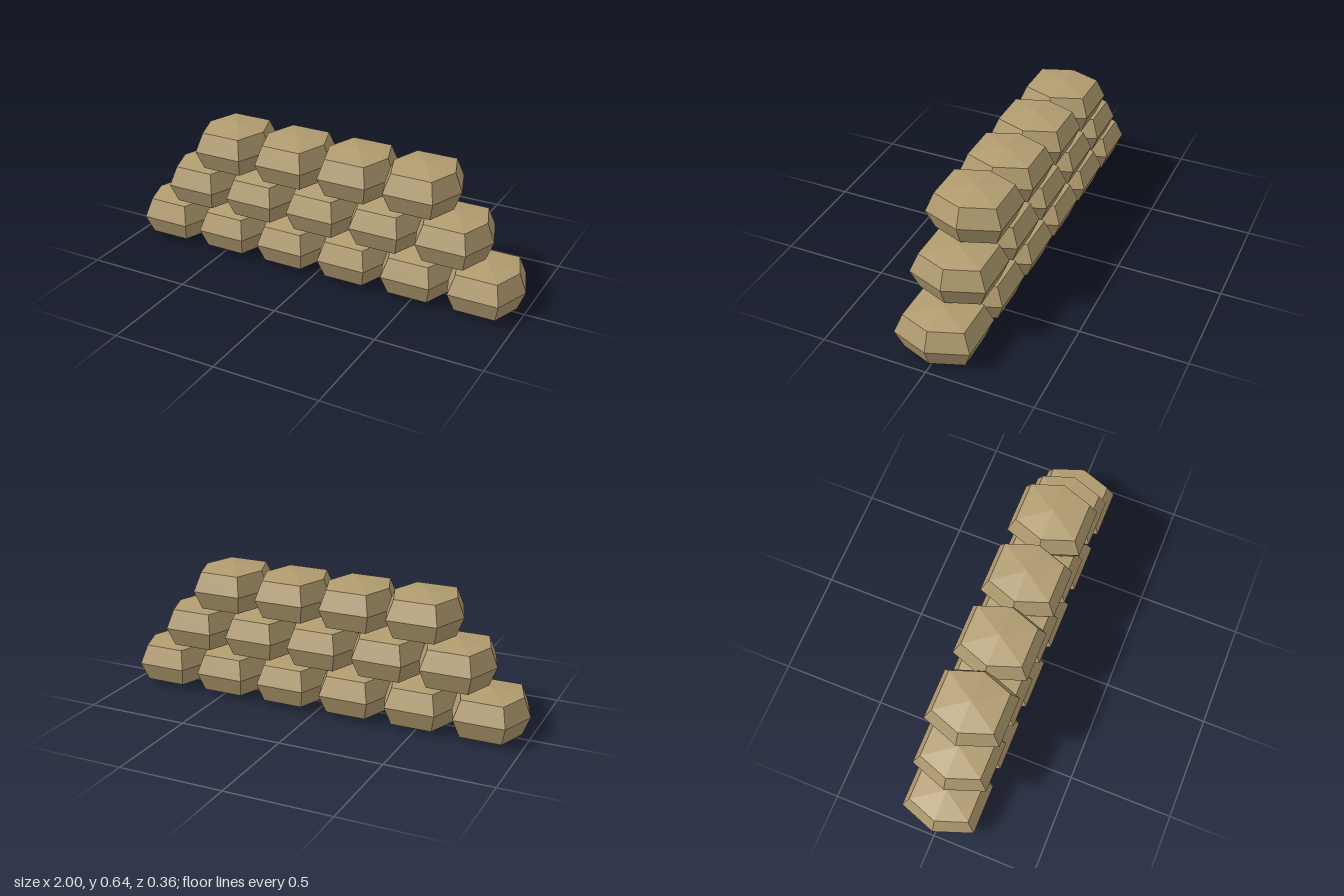
import * as THREE from 'three';

// Faceted sandbag: six-sided plan with flat long sides, tapered above and below its middle
function bagGeometry() {
  const profile = [[0, -0.111], [0.81, -0.09], [1, 0], [0.81, 0.09], [0, 0.111]]
    .map(([r, y]) => new THREE.Vector2(r, y));
  const lathe = new THREE.LatheGeometry(profile, 6, Math.PI / 2);
  const p = lathe.attributes.position;
  for (let i = 0; i < p.count; i++) {
    const x = p.getX(i), z = p.getZ(i);
    // end points stay at the tips, side corners are pushed outwards
    const isTip = Math.abs(z) < 0.01;
    p.setX(i, x * (isTip ? 0.184 : 0.24));
    p.setZ(i, isTip ? 0 : z * 0.2078);
  }
  const flat = lathe.toNonIndexed();
  flat.computeVertexNormals();
  return flat;
}

export function createModel() {
  const model = new THREE.Group();
  model.name = 'sandbagWall';
  const burlap = new THREE.MeshStandardMaterial({ color: 0xb29c70 });
  burlap.name = 'burlap';
  const bag = bagGeometry();
  const spacing = 0.3264;

  // Three staggered rows, each one bag shorter than the row below
  [6, 5, 4].forEach((count, row) => {
    const rowGroup = new THREE.Group();
    rowGroup.name = `sandbagRow${row + 1}`;
    rowGroup.position.y = 0.112 + row * 0.209;
    for (let i = 0; i < count; i++) {
      const mesh = new THREE.Mesh(bag, burlap);
      mesh.name = `sandbag${i + 1}`;
      mesh.position.x = (i - (count - 1) / 2) * spacing;
      rowGroup.add(mesh);
    }
    model.add(rowGroup);
  });
  return model;
}
